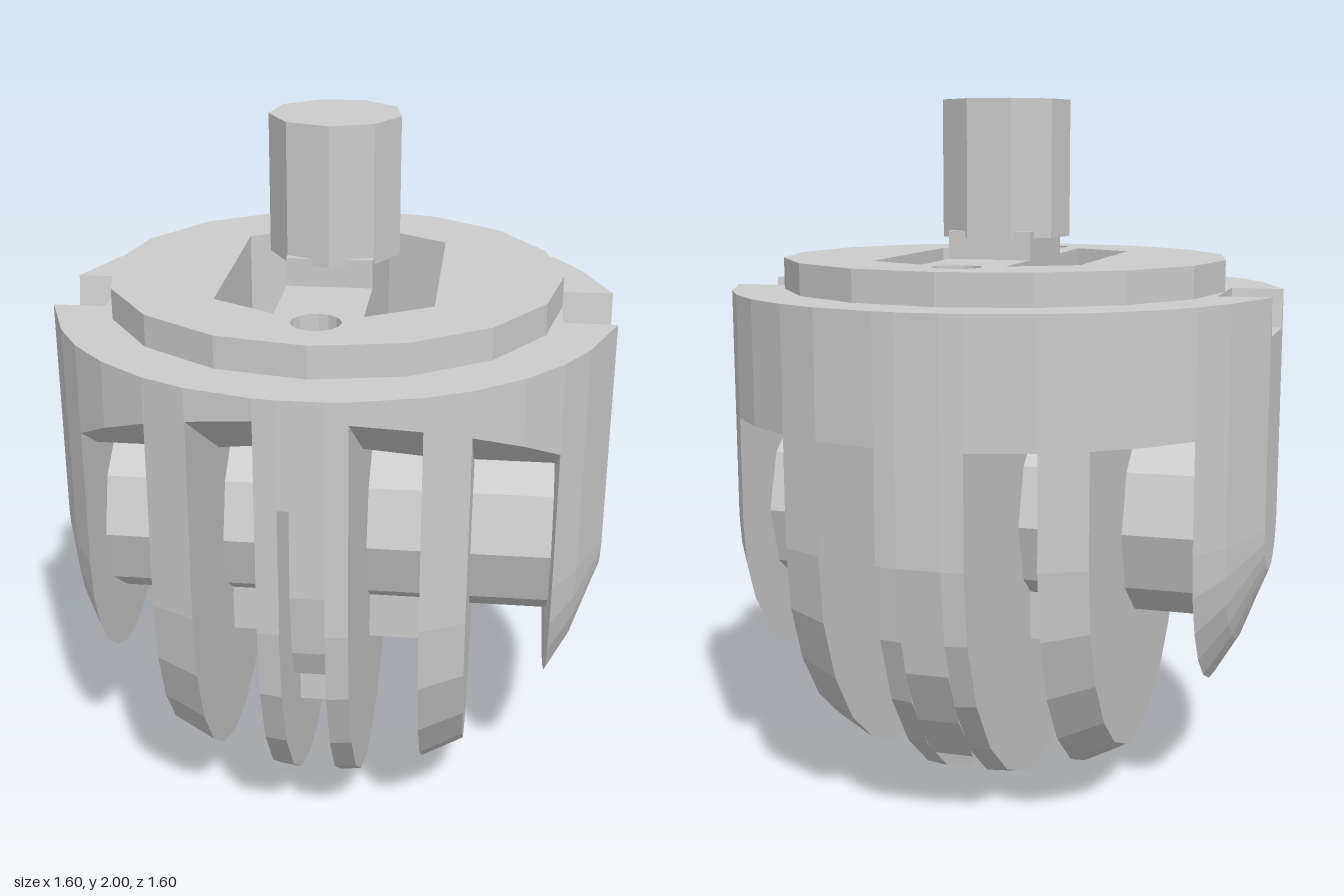
import * as THREE from 'three';

const material = new THREE.MeshStandardMaterial({ color: 0xcccccc, flatShading: true });
const TOP = 1.46, MID = 0.8, CEIL = 1.11;

// Half depth (z) of the round body at a given x
const halfDepth = (x) => Math.sqrt(Math.max(0.64 - x * x, 0.02));
// Radius of the opening above the core, as half depth at x
const wellDepth = (x) => Math.sqrt(0.43 * 0.43 - x * x);
// Slot ceiling: flat, then rising toward the front
const ceiling = (z) => CEIL + 0.6 * Math.max(0, z - 0.31);

// Loft of [z, y] outlines (anticlockwise, z right, y up) along x
function slab(name, xs, outline) {
  const rings = xs.map((x) => outline(x).map(([z, y]) => new THREE.Vector3(x, y, z)));
  const pos = [];
  const tri = (...pts) => pts.forEach((p) => pos.push(p.x, p.y, p.z));
  for (let k = 0; k < rings.length - 1; k++) {
    const a = rings[k], b = rings[k + 1];
    a.forEach((p, i) => {
      const j = (i + 1) % a.length;
      tri(p, b[i], a[j]);
      tri(a[j], b[i], b[j]);
    });
  }
  const cap = (ring, flip) => {
    const flat = ring.map((p) => new THREE.Vector2(p.z, p.y));
    for (const [a, b, c] of THREE.ShapeUtils.triangulateShape(flat, [])) {
      if (flip) tri(ring[a], ring[c], ring[b]);
      else tri(ring[a], ring[b], ring[c]);
    }
  };
  cap(rings[0], false);
  cap(rings[rings.length - 1], true);
  const geo = new THREE.BufferGeometry();
  geo.setAttribute('position', new THREE.Float32BufferAttribute(pos, 3));
  geo.computeVertexNormals();
  return part(name, geo);
}

function part(name, geo, x = 0, y = 0, z = 0) {
  const mesh = new THREE.Mesh(geo, material);
  mesh.name = name;
  mesh.position.set(x, y, z);
  return mesh;
}

// Lower half round of the body
function underside(r, n = 12) {
  return Array.from({ length: n + 1 }, (_, i) => {
    const a = Math.PI * (1 + i / n);
    return [r * Math.cos(a), MID + r * Math.sin(a)];
  });
}

const finOutline = (x) => {
  const r = halfDepth(x);
  return [[r, TOP], [-r, TOP], ...underside(r)];
};

// Side cheek with the key notch in its rim
const cheekOutline = (x) => {
  const r = halfDepth(x), n = Math.min(0.14, r * 0.99);
  return [[r, TOP], [n, TOP], [0.12, 1.35], [-0.12, 1.35], [-n, TOP], [-r, TOP], ...underside(r)];
};

const outerRoof = (x) => {
  const r = halfDepth(x);
  return [[r, TOP], [-r, TOP], [-r, CEIL], [0.31, CEIL], [r, ceiling(r)]];
};
const innerRoofFront = (x) => {
  const r = halfDepth(x), h = wellDepth(x);
  return [[r, TOP], [h, TOP], [h, ceiling(h)], [r, ceiling(r)]];
};
const innerRoofBack = (x) => {
  const r = halfDepth(x), h = wellDepth(x);
  return [[-h, TOP], [-r, TOP], [-r, CEIL], [-h, CEIL]];
};

// Middle web inside the groove, split by the two vertical bores
const webCentre = () => {
  const floor = [-0.4, -0.2, 0, 0.2, 0.4].map((z) => [z, MID - Math.sqrt(0.36 - z * z)]);
  return [[0.4, TOP], [-0.4, TOP], ...floor];
};
const webFront = (x) => {
  const r = halfDepth(x);
  return [[r, TOP], [0.53, TOP], [0.53, 0.52], [0.57, 0.61], [0.6, MID], [0.6, 1.12], [0.65, 1.16], [r, 1.16]];
};
const webBack = (x) => {
  const r = halfDepth(x);
  return [[-0.53, TOP], [-r, TOP], [-r, MID], [-0.74, 0.5], [-0.65, 0.34], [-0.53, 0.2]];
};

// Raised top disc with two well openings and two bores
function discGeometry() {
  const shape = new THREE.Shape().absarc(0, 0, 0.65, 0, Math.PI * 2);
  for (const s of [-1, 1]) {
    const a = wellDepth(0.12), b = wellDepth(0.3);
    shape.holes.push(new THREE.Path([[0.12, -a], [0.3, -b], [0.3, b], [0.12, a]]
      .map(([x, y]) => new THREE.Vector2(s * x, y))));
    shape.holes.push(new THREE.Path().absarc(0, s * 0.47, 0.068, 0, Math.PI * 2));
  }
  const geo = new THREE.ExtrudeGeometry(shape, { depth: 0.09, bevelEnabled: false, curveSegments: 8 });
  return geo.rotateX(-Math.PI / 2);
}

export function createModel() {
  const group = new THREE.Group();

  // Parts that repeat on both sides
  const both = [
    ['sideCheek', [0.65, 0.72, 0.77, 0.8], cheekOutline],
    ['outerSlotRoof', [0.42, 0.55, 0.65], outerRoof],
    ['outerFin', [0.3, 0.42], finOutline],
    ['innerSlotRoofFront', [0.12, 0.3], innerRoofFront],
    ['innerSlotRoofBack', [0.12, 0.3], innerRoofBack],
    ['centreFin', [0.06, 0.12], finOutline],
  ];
  for (const [name, xs, outline] of both) {
    group.add(slab(name + 'Left', xs, outline));
    group.add(slab(name + 'Right', xs.map((x) => -x).reverse(), outline));
  }

  // Grooved middle of the centre fin
  group.add(slab('grooveWebCentre', [-0.06, 0.06], webCentre));
  group.add(slab('grooveWebFront', [-0.06, 0.06], webFront));
  group.add(slab('grooveWebBack', [-0.06, 0.06], webBack));

  // Core across the slots, with a keel below it
  const core = new THREE.CylinderGeometry(0.285, 0.285, 1.32, 10).rotateZ(Math.PI / 2);
  group.add(part('core', core, 0, MID));
  group.add(part('coreKeel', new THREE.BoxGeometry(0.72, 0.2, 0.3), 0, 0.53));

  // Top disc, neck and shaft
  group.add(part('topDisc', discGeometry(), 0, TOP));
  group.add(part('neck', new THREE.BoxGeometry(0.24, 0.1, 0.34), 0, 1.58));
  group.add(part('shaft', new THREE.CylinderGeometry(0.187, 0.187, 0.39, 9), 0, 1.805));
  return group;
}
